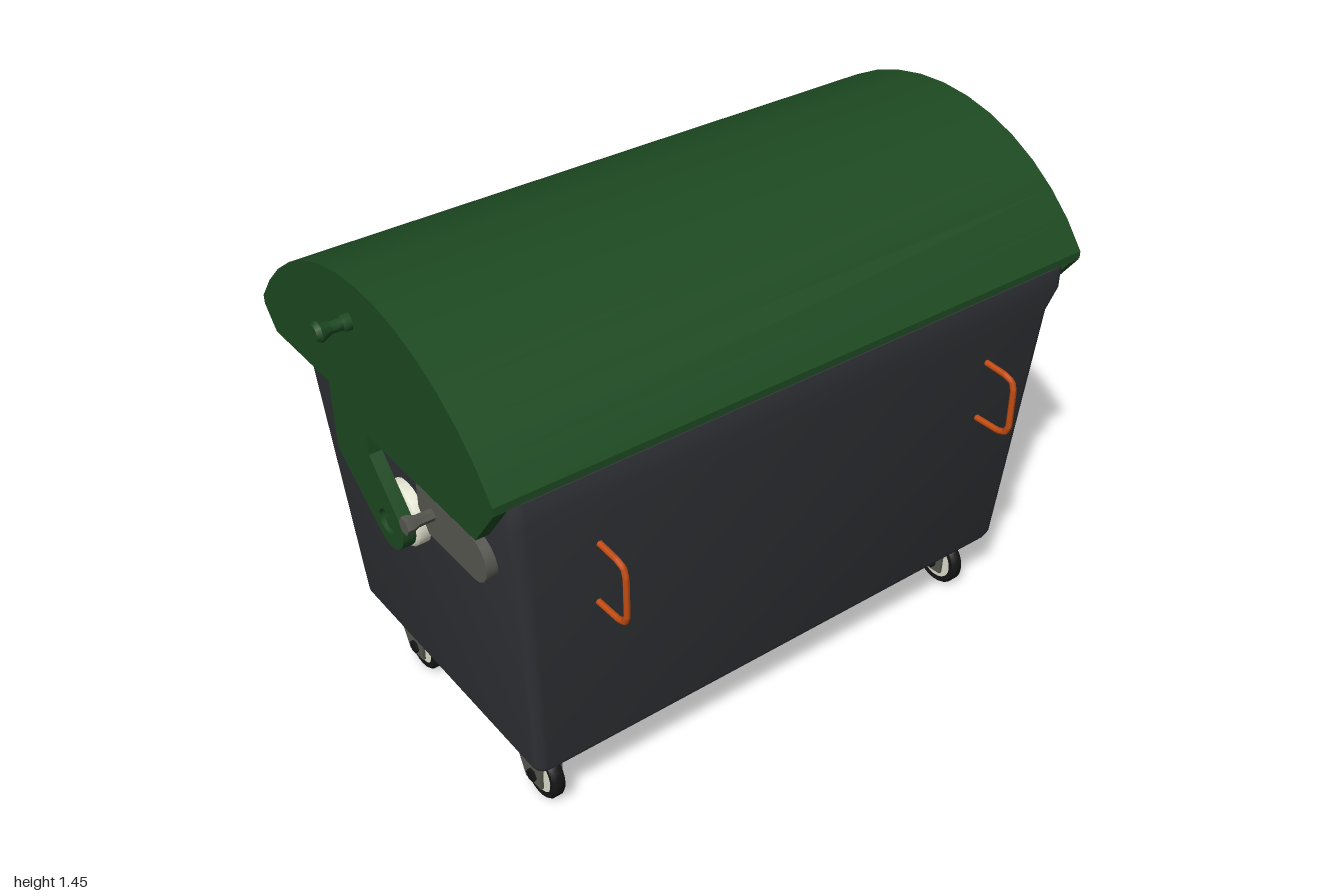
import * as THREE from 'three';
import { toCreasedNormals } from 'three/addons/utils/BufferGeometryUtils.js';

const mat = (color) => new THREE.MeshStandardMaterial({ color, side: THREE.DoubleSide });
const green = mat(0x1d4a21), dark = mat(0x34363a), grey = mat(0x585852);
const white = mat(0xe2e2d0), black = mat(0x151515), orange = mat(0xc84e12);

function add(parent, name, geometry, material, x = 0, y = 0, z = 0) {
  const mesh = new THREE.Mesh(geometry, material);
  mesh.name = name;
  mesh.position.set(x, y, z);
  parent.add(mesh);
  return mesh;
}

// Side profile given in (z, y), extruded from x0 to x1
function slab(shape, x0, x1, crease = 0.5) {
  const g = new THREE.ExtrudeGeometry(shape, { depth: x1 - x0, bevelEnabled: false, curveSegments: 8 });
  g.rotateY(-Math.PI / 2).translate(x1, 0, 0);
  return toCreasedNormals(g, crease);
}
const poly = (pts) => new THREE.Shape(pts.map(([z, y]) => new THREE.Vector2(z, y)));

// Turned part along x; points are [radius, distance outwards]
function turned(pts, segments, s = 1) {
  const g = new THREE.LatheGeometry(pts.map(([r, d]) => new THREE.Vector2(r, d)), segments);
  return toCreasedNormals(g.rotateZ(-s * Math.PI / 2), 0.8);
}

// Points on an arc in (z, y)
function arc(cz, cy, r, a0, a1, n) {
  return Array.from({ length: n + 1 }, (_, i) => {
    const a = a0 + (a1 - a0) * i / n;
    return [cz + r * Math.cos(a), cy + r * Math.sin(a)];
  });
}

// Rounded rectangular sections joined from the outer floor, over the rim, to the inner floor
function tubGeometry() {
  // y, half width, front z, back z, corner radius
  const levels = [
    [0.2, 0.775, 0.405, -0.445, 0.02], [0.206, 0.793, 0.423, -0.463, 0.03],
    [0.225, 0.802, 0.432, -0.472, 0.035], [1.0, 0.85, 0.488, -0.52, 0.035],
    [1.075, 0.866, 0.508, -0.548, 0.035], [1.14, 0.866, 0.508, -0.548, 0.035],
    [1.14, 0.835, 0.475, -0.51, 0.02], [1.0, 0.825, 0.465, -0.495, 0.02], [0.24, 0.775, 0.41, -0.445, 0.02],
  ];
  const pos = [], idx = [], n = 16;
  for (const [y, hx, zf, zb, r] of levels) {
    const corners = [[hx - r, zf - r], [-hx + r, zf - r], [-hx + r, zb + r], [hx - r, zb + r]];
    corners.forEach(([cx, cz], k) => {
      for (const [x, z] of arc(cx, cz, r, k * Math.PI / 2, (k + 1) * Math.PI / 2, 3)) pos.push(x, y, z);
    });
  }
  for (let l = 0; l < levels.length - 1; l++) {
    for (let i = 0; i < n; i++) {
      const a = l * n + i, b = l * n + (i + 1) % n;
      idx.push(a, a + n, b, b, a + n, b + n);
    }
  }
  const last = (levels.length - 1) * n;
  for (let i = 1; i < n - 1; i++) {
    idx.push(0, i, i + 1);
    idx.push(last, last + i + 1, last + i);
  }
  const g = new THREE.BufferGeometry();
  g.setAttribute('position', new THREE.Float32BufferAttribute(pos, 3));
  g.setIndex(idx);
  return toCreasedNormals(g, 0.6);
}

function buildLid() {
  const lid = new THREE.Group();
  lid.name = 'lid';
  const cz = -0.04, cy = 0.777, R = 0.673, half = 0.957;
  const a0 = Math.PI / 2 - half, a1 = Math.PI / 2 + half;

  // Curved cover with a turned-in lip at the back
  const cover = poly([
    [0.51, 1.145], ...arc(cz, cy, R, a0, a1, 14), [-0.59, 1.14], [-0.545, 1.085],
    [-0.535, 1.095], [-0.575, 1.145], ...arc(cz, cy, R - 0.02, a1, a0, 14), [0.495, 1.145],
  ]);
  add(lid, 'lidCover', slab(cover, -0.91, 0.91), green);

  // End plates with the hinge arm and its bolt hole
  const plate = poly([
    ...arc(cz, cy, R - 0.004, a0, a1, 14), [-0.588, 1.14], [-0.54, 1.08], [-0.257, 1.08], [-0.257, 0.88],
    ...arc(-0.02, 0.79, 0.073, -2.25, 0.5, 8), [-0.08, 0.96], [-0.08, 1.02], [0.42, 1.02], [0.508, 1.14],
  ]);
  const hole = new THREE.Path();
  hole.absarc(-0.03, 0.788, 0.034, 0, Math.PI * 2, true);
  plate.holes.push(hole);
  for (const s of [1, -1]) {
    add(lid, 'lidEndPlate', slab(plate, s > 0 ? 0.874 : -0.91, s > 0 ? 0.91 : -0.874), green);
    const knob = [[0, -0.02], [0.022, -0.02], [0.022, 0.015], [0.016, 0.02], [0.016, 0.05], [0.028, 0.078], [0.02, 0.09], [0, 0.09]];
    add(lid, 'lidKnob', turned(knob, 8, s), green, s * 0.91, 1.335, -0.09);
  }
  return lid;
}

function buildSideFittings(s) {
  const side = new THREE.Group();
  side.name = s > 0 ? 'leftSideFittings' : 'rightSideFittings';
  const disc = [[0, 0], [0.088, 0], [0.088, 0.035], [0.08, 0.043], [0, 0.043]];
  add(side, 'hingeDisc', turned(disc, 20, s), white, s * 0.83, 0.79, -0.03);
  const bolt = [[0, 0], [0.022, 0], [0.022, 0.035], [0, 0.035]];
  add(side, 'hingeBolt', turned(bolt, 6, s), green, s * 0.87, 0.786, -0.02);

  // Mounting plate with a rounded front end and its lifting pin
  const plate = poly([
    [0.08, 0.955], [0.08, 0.885], [0.122, 0.828],
    ...arc(0.327, 0.8915, 0.0635, -Math.PI / 2, Math.PI / 2, 8),
  ]);
  add(side, 'mountingPlate', slab(plate, s > 0 ? 0.825 : -0.873, s > 0 ? 0.873 : -0.825), grey);
  const pin = [[0, 0], [0.016, 0], [0.016, 0.05], [0.024, 0.07], [0.024, 0.085], [0, 0.085]];
  add(side, 'liftingPin', turned(pin, 6, s), grey, s * 0.865, 0.905, 0.15);
  return side;
}

function buildCaster() {
  const caster = new THREE.Group();
  caster.name = 'caster';
  // Tyre, wheel disc and axle
  const tyre = [[0.06, -0.019], [0.074, -0.019], [0.08, -0.012], [0.08, 0.012], [0.074, 0.019], [0.06, 0.019], [0.06, -0.019]];
  add(caster, 'tyre', turned(tyre, 24), black, 0, 0.083, 0);
  add(caster, 'wheelDisc', turned([[0, -0.016], [0.064, -0.016], [0.064, 0.016], [0, 0.016]], 24), white, 0, 0.083, 0);
  add(caster, 'axle', turned([[0, -0.042], [0.02, -0.042], [0.02, 0.042], [0, 0.042]], 6), black, 0, 0.083, 0);
  // Fork cheeks, crown and swivel plate
  const cheek = poly([[0.043, 0.19], [0.037, 0.056], [-0.035, 0.05], [-0.1, 0.19]]);
  add(caster, 'forkCheek', slab(cheek, 0.025, 0.034), grey);
  add(caster, 'forkCheek', slab(cheek, -0.034, -0.025), grey);
  add(caster, 'forkCrown', new THREE.BoxGeometry(0.068, 0.012, 0.143), grey, 0, 0.184, -0.028);
  const swivel = poly([[0.066, 0.204], [0.066, 0.193], [0.03, 0.183], [-0.09, 0.183], [-0.122, 0.193], [-0.122, 0.204]]);
  add(caster, 'swivelPlate', slab(swivel, -0.046, 0.046), grey);
  return caster;
}

function handleGeometry() {
  const pts = [[0.46, 0.912], [0.55, 0.908], [0.577, 0.9], [0.585, 0.875], [0.585, 0.76], [0.575, 0.737], [0.55, 0.728], [0.45, 0.725]];
  const path = new THREE.CurvePath();
  const v = pts.map(([z, y]) => new THREE.Vector3(0, y, z));
  for (let i = 0; i < v.length - 1; i++) path.add(new THREE.LineCurve3(v[i], v[i + 1]));
  return new THREE.TubeGeometry(path, 48, 0.009, 6);
}

export function createModel() {
  const model = new THREE.Group();
  model.name = 'wheeledContainer';
  add(model, 'tub', tubGeometry(), dark);
  model.add(buildLid());
  for (const s of [1, -1]) {
    model.add(buildSideFittings(s));
    add(model, 'frontHandle', handleGeometry(), orange, s * 0.625, 0, 0);
    for (const z of [0.31, -0.302]) {
      const caster = buildCaster();
      caster.position.set(s * 0.715, 0, z);
      model.add(caster);
    }
  }
  return model;
}
